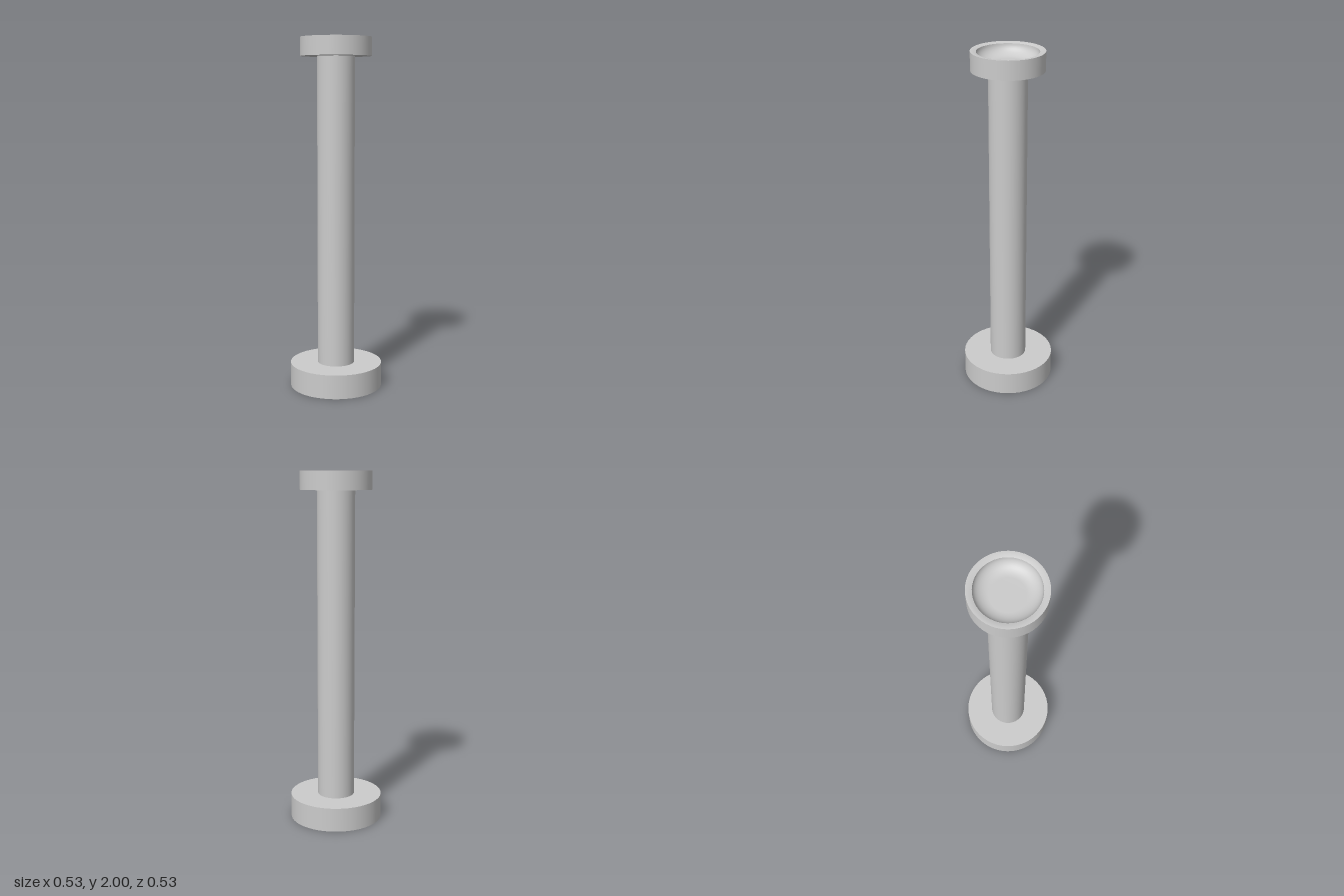
import * as THREE from 'three';

const SEGMENTS = 48;

export function createModel() {
  const model = new THREE.Group();
  model.name = 'pedestalStand';
  const material = new THREE.MeshStandardMaterial({ color: 0xcccccc, side: THREE.DoubleSide });

  // Revolve a profile of [radius, height] pairs, smooth along its length
  const revolve = (profile, name, parent) => {
    const points = profile.map(([r, y]) => new THREE.Vector2(r, y));
    const mesh = new THREE.Mesh(new THREE.LatheGeometry(points, SEGMENTS), material);
    mesh.name = name;
    parent.add(mesh);
  };
  const addGroup = (name) => {
    const group = new THREE.Group();
    group.name = name;
    model.add(group);
    return group;
  };

  const baseR = 0.264, baseTop = 0.137;
  const columnR = 0.106;
  const collarR = 0.2, collarBottom = 1.896, top = 2;
  const bowlR = 0.168, floorR = 0.09, rimY = 1.995, bowlDepth = 0.06;

  // Hollow base: thin wall and a ring-shaped deck, open underneath
  const base = addGroup('base');
  revolve([[baseR, 0], [baseR, baseTop]], 'baseWall', base);
  revolve([[baseR, baseTop], [columnR, baseTop]], 'baseDeck', base);

  // Hollow column, open at its foot
  revolve([[columnR, baseTop], [columnR, collarBottom]], 'column', model);

  // Collar around the head of the column
  const collar = addGroup('collar');
  revolve([[columnR, collarBottom], [collarR, collarBottom]], 'collarUnderside', collar);
  revolve([[collarR, collarBottom], [collarR, top]], 'collarWall', collar);
  revolve([[collarR, top], [0.185, top], [bowlR, rimY]], 'collarRim', collar);

  // Shallow bowl: curved side running into a flat floor
  const bowl = [];
  for (let i = 0; i <= 10; i++) {
    const a = (i / 10) * Math.PI / 2;
    bowl.push([floorR + (bowlR - floorR) * Math.cos(a), rimY - bowlDepth * Math.sin(a)]);
  }
  bowl.push([0, rimY - bowlDepth]);
  revolve(bowl, 'bowl', collar);

  return model;
}
